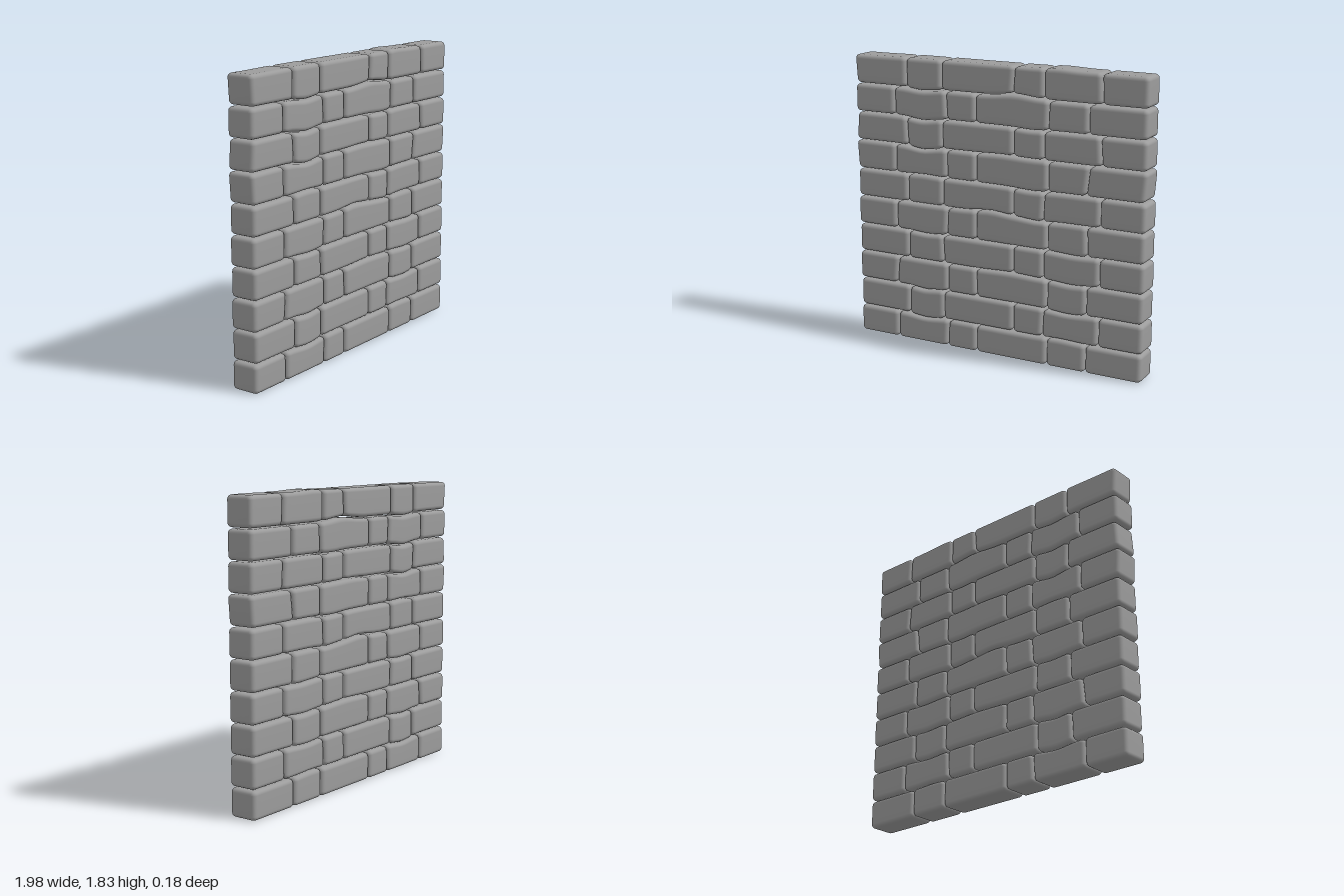
import * as THREE from 'three';
import { mergeVertices } from 'three/addons/utils/BufferGeometryUtils.js';

const DEPTH = 0.18, GAP = 0.007, RADIUS = 0.027;

// vertical joints of the two alternating courses
const COURSE_A = [-0.992, -0.705, -0.335, -0.13, 0.358, 0.617, 0.985];
const COURSE_B = [-0.988, -0.617, -0.365, 0.127, 0.33, 0.699, 0.987];

// bed joints: height, then bumps as [x, rise, half width]
const BEDS = [
  [0.006],
  [0.186, [-0.5, -0.016, 0.11], [0.45, 0.006, 0.1]],
  [0.371, [-0.5, -0.012, 0.08], [0.5, -0.012, 0.12]],
  [0.555, [0.1, 0.008, 0.15], [0.52, -0.01, 0.1]],
  [0.738, [-0.48, -0.01, 0.1], [0.55, -0.008, 0.12]],
  [0.921, [-0.03, 0.016, 0.12], [0.3, -0.01, 0.1]],
  [1.102, [0.25, -0.01, 0.12], [-0.5, 0.006, 0.1]],
  [1.287, [-0.5, -0.02, 0.1], [0.05, 0.006, 0.12]],
  [1.468, [-0.5, -0.018, 0.1], [0.25, -0.008, 0.1]],
  [1.648, [-0.5, -0.014, 0.1], [0.14, 0.018, 0.13]],
  [1.835, [0.42, 0.006, 0.1], [-0.9, -0.004, 0.2]],
];

// small lean of particular vertical joints: course -> joint -> lean
const LEANS = {
  1: { 2: 0.008 }, 2: { 1: 0.006, 4: 0.008 }, 3: { 1: 0.016, 3: -0.006 }, 4: { 2: -0.008 },
  5: { 2: 0.01, 5: -0.008 }, 6: { 4: 0.008 }, 7: { 0: -0.012, 5: 0.02, 6: 0.014 },
  8: { 0: 0.012, 1: -0.01, 5: -0.012 }, 9: { 2: -0.01, 4: 0.006 }, 10: { 0: -0.012, 3: 0.012, 5: -0.008 },
};

function bedHeight(bed, x) {
  return bed.slice(1).reduce((y, [cx, rise, w]) => y + rise * Math.exp(-(((x - cx) / w) ** 2)), bed[0]);
}

// grid coordinate with extra rows packed into the rounded edge
function knot(t, n, half) {
  const i = Math.round((t + 0.5) * n), k = 3;
  if (i <= k) return -half + (RADIUS * i) / k;
  if (i >= n - k) return half - (RADIUS * (n - i)) / k;
  return (half - RADIUS) * ((2 * (i - k)) / (n - 2 * k) - 1);
}

// rounded brick bent to follow its bed joints and leaning sides
function brickGeometry(x0, x1, lean0, lean1, low, high) {
  const nx = 14, ny = 8, nz = 8;
  const half = new THREE.Vector3((x1 - x0) / 2 - GAP / 2, (high[0] - low[0]) / 2, DEPTH / 2);
  const inner = half.clone().subScalar(RADIUS);
  let g = new THREE.BoxGeometry(1, 1, 1, nx, ny, nz);
  g.deleteAttribute('uv');
  g.deleteAttribute('normal');
  const pos = g.attributes.position, p = new THREE.Vector3(), core = new THREE.Vector3();
  for (let i = 0; i < pos.count; i++) {
    p.set(knot(pos.getX(i), nx, half.x), knot(pos.getY(i), ny, half.y), knot(pos.getZ(i), nz, half.z));
    core.copy(p).clamp(inner.clone().negate(), inner);
    p.sub(core).setLength(RADIUS).add(core);
    const u = p.x / half.x / 2 + 0.5, v = p.y / half.y / 2 + 0.5;
    const x = (x0 + x1) / 2 + p.x + (lean0 * (1 - u) + lean1 * u) * (v - 0.5);
    const bottom = bedHeight(low, x) + GAP / 2, top = bedHeight(high, x) - GAP / 2;
    pos.setXYZ(i, x, bottom + (top - bottom) * v, p.z);
  }
  g = mergeVertices(g, 1e-5);
  g.computeVertexNormals();
  return g;
}

export function createModel() {
  const wall = new THREE.Group();
  wall.name = 'brickWall';
  const stone = new THREE.MeshStandardMaterial({ color: 0x9c9c9c });
  stone.name = 'grey stone';

  for (let row = 1; row < BEDS.length; row++) {
    const course = new THREE.Group();
    course.name = `course${row}`;
    const joints = row % 2 ? COURSE_A : COURSE_B;
    const lean = (j) => LEANS[row]?.[j] ?? 0;
    for (let j = 0; j < joints.length - 1; j++) {
      const brick = new THREE.Mesh(
        brickGeometry(joints[j], joints[j + 1], lean(j), lean(j + 1), BEDS[row - 1], BEDS[row]), stone);
      brick.name = `brick${row}_${j + 1}`;
      course.add(brick);
    }
    wall.add(course);
  }
  return wall;
}
